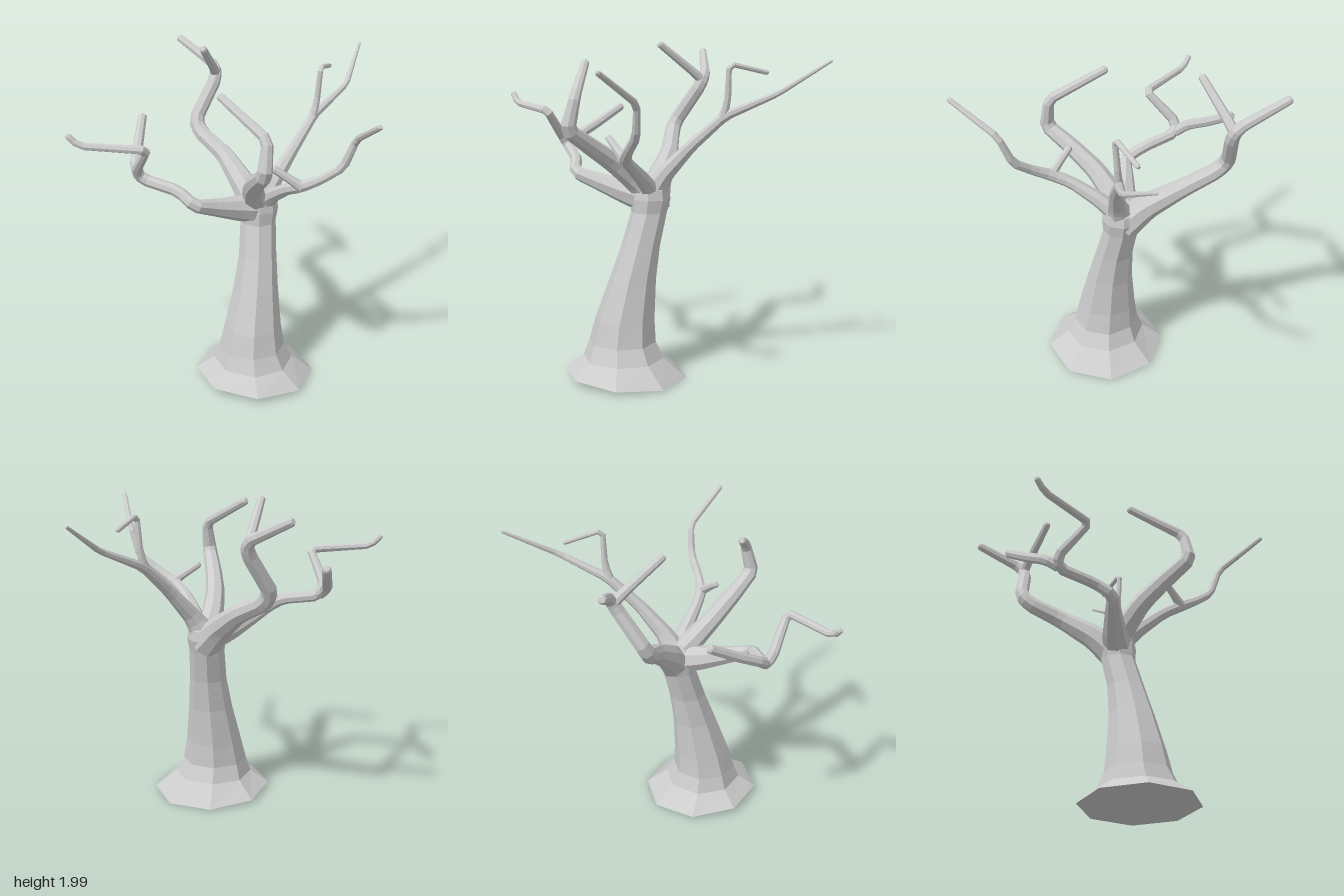
import * as THREE from 'three';

const material = new THREE.MeshStandardMaterial({ color: 0xcccccc, flatShading: true });

// Skin a list of rings (each an array of Vector3, counter-clockwise about the growth direction)
function loft(name, rings) {
  const n = rings[0].length;
  const pos = [];
  const tri = (a, b, c) => [a, b, c].forEach(p => pos.push(p.x, p.y, p.z));
  const centre = ring => ring.reduce((s, p) => s.add(p), new THREE.Vector3()).divideScalar(n);
  const first = rings[0], last = rings[rings.length - 1];
  const c0 = centre(first), c1 = centre(last);
  for (let j = 0; j < n; j++) {
    const k = (j + 1) % n;
    for (let i = 0; i + 1 < rings.length; i++) {
      tri(rings[i][j], rings[i][k], rings[i + 1][k]);
      tri(rings[i][j], rings[i + 1][k], rings[i + 1][j]);
    }
    tri(c0, first[k], first[j]);
    tri(c1, last[j], last[k]);
  }
  const geometry = new THREE.BufferGeometry();
  geometry.setAttribute('position', new THREE.Float32BufferAttribute(pos, 3));
  geometry.computeVertexNormals();
  const mesh = new THREE.Mesh(geometry, material);
  mesh.name = name;
  return mesh;
}

// Tapered eight-sided limb through points [x, y, z, radius], with bevelled bends and a blunt tip
function limb(name, points) {
  const sides = 8;
  const pts = points.map(p => new THREE.Vector4(...p));
  const gap = (a, b) => a.clone().sub(b).length();
  const path = [pts[0]];
  for (let i = 1; i + 1 < pts.length; i++) {
    for (const other of [pts[i - 1], pts[i + 1]]) {
      const t = Math.min(0.3, 0.03 / gap(pts[i], other));
      path.push(pts[i].clone().lerp(other, t));
    }
  }
  const end = pts[pts.length - 1], before = pts[pts.length - 2];
  path.push(end.clone().lerp(before, 0.012 / gap(end, before)));
  const tip = end.clone();
  tip.w *= 0.65;
  path.push(tip);

  const at = path.map(p => new THREE.Vector3(p.x, p.y, p.z));
  const dir = i => at[i + 1].clone().sub(at[i]).normalize();
  let prev = dir(0);
  const u = new THREE.Vector3(0.31, 0.2, 1).cross(prev).normalize();
  const rings = path.map((p, i) => {
    const t = i === 0 ? dir(0) : i === path.length - 1 ? dir(i - 1)
      : dir(i - 1).add(dir(i)).normalize();
    u.applyQuaternion(new THREE.Quaternion().setFromUnitVectors(prev, t));
    prev = t;
    const v = t.clone().cross(u);
    return Array.from({ length: sides }, (_, j) => {
      const a = (j / sides) * Math.PI * 2;
      return at[i].clone().addScaledVector(u, p.w * Math.cos(a)).addScaledVector(v, p.w * Math.sin(a));
    });
  });
  return loft(name, rings);
}

// Leaning eight-sided trunk with a flared, slightly tilted foot
function trunk() {
  // y, centre x, centre z, radius x, radius z
  const rows = [
    [0.03, 0.18, 0.19, 0.37, 0.37],
    [0.125, 0.17, 0.2, 0.245, 0.245],
    [0.22, 0.16, 0.2, 0.203, 0.203],
    [0.36, 0.165, 0.185, 0.175, 0.183],
    [0.6, 0.183, 0.14, 0.137, 0.143],
    [0.8, 0.195, 0.09, 0.115, 0.117],
    [1.0, 0.198, 0.03, 0.108, 0.108],
    [1.08, 0.2, 0.02, 0.12, 0.12],
    [1.14, 0.2, 0.02, 0.11, 0.11],
    [1.19, 0.2, 0.02, 0.055, 0.055],
  ];
  return loft('trunk', rows.map(([y, cx, cz, rx, rz], i) =>
    Array.from({ length: 8 }, (_, j) => {
      const a = (j / 8) * Math.PI * 2;
      const x = Math.sin(a) * rx, z = Math.cos(a) * rz;
      const tilt = i === 0 ? (z - x) * 0.042 : 0;
      return new THREE.Vector3(cx + x, y + tilt, cz + z);
    })));
}

export function createModel() {
  const tree = new THREE.Group();
  tree.name = 'bareTree';
  tree.add(trunk());

  // Each branch is a main limb plus twigs that fork off it
  const branches = {
    rightBranch: [
      [[0.2, 1.08, 0.03, 0.095], [0.08, 1.11, 0.1, 0.08], [-0.06, 1.16, 0.2, 0.055], [-0.19, 1.215, 0.3, 0.038],
        [-0.28, 1.28, 0.23, 0.035], [-0.49, 1.32, 0.14, 0.036], [-0.53, 1.38, 0.16, 0.033],
        [-0.45, 1.575, 0.335, 0.027], [-0.83, 1.6, 0.325, 0.021], [-0.895, 1.665, 0.32, 0.018]],
      [[-0.5, 1.33, 0.14, 0.034], [-0.54, 1.38, 0.08, 0.033], [-0.525, 1.46, -0.08, 0.031], [-0.505, 1.575, -0.28, 0.027]],
    ],
    backBranch: [
      [[0.2, 1.05, 0.0, 0.1], [0.12, 1.17, -0.1, 0.08], [0.0, 1.31, -0.28, 0.057], [-0.15, 1.41, -0.42, 0.05],
        [-0.18, 1.48, -0.47, 0.046], [-0.05, 1.72, -0.57, 0.042], [-0.05, 1.79, -0.61, 0.034], [-0.285, 1.93, -0.79, 0.025]],
      [[-0.05, 1.75, -0.585, 0.034], [-0.065, 1.8, -0.53, 0.029], [-0.13, 1.985, -0.295, 0.023]],
    ],
    frontBranch: [
      [[0.2, 1.1, 0.02, 0.08], [0.165, 1.2, 0.12, 0.07], [0.15, 1.31, 0.26, 0.06], [0.165, 1.41, 0.42, 0.053],
        [0.195, 1.52, 0.6, 0.046], [0.21, 1.71, 0.555, 0.032], [-0.045, 1.885, 0.315, 0.024]],
    ],
    frontLeftBranch: [
      [[0.22, 1.1, 0.02, 0.06], [0.27, 1.2, 0.12, 0.048], [0.35, 1.31, 0.28, 0.036], [0.42, 1.36, 0.37, 0.036],
        [0.52, 1.42, 0.42, 0.028], [0.64, 1.51, 0.455, 0.026], [0.7, 1.69, 0.495, 0.02], [0.77, 1.865, 0.795, 0.015]],
      [[0.42, 1.36, 0.37, 0.034], [0.37, 1.395, 0.37, 0.026], [0.25, 1.475, 0.365, 0.021]],
    ],
    backLeftBranch: [
      [[0.2, 1.08, 0.02, 0.09], [0.28, 1.22, -0.01, 0.056], [0.41, 1.4, -0.11, 0.038], [0.55, 1.58, -0.25, 0.03],
        [0.77, 1.71, -0.45, 0.018], [0.89, 1.895, -0.76, 0.009]],
      [[0.54, 1.57, -0.24, 0.028], [0.565, 1.66, -0.255, 0.02], [0.58, 1.88, -0.25, 0.017], [0.665, 1.825, -0.475, 0.014]],
    ],
  };
  for (const [name, limbs] of Object.entries(branches)) {
    const group = new THREE.Group();
    group.name = name;
    limbs.forEach((points, i) => group.add(limb(i ? 'twig' : 'mainLimb', points)));
    tree.add(group);
  }
  return tree;
}
